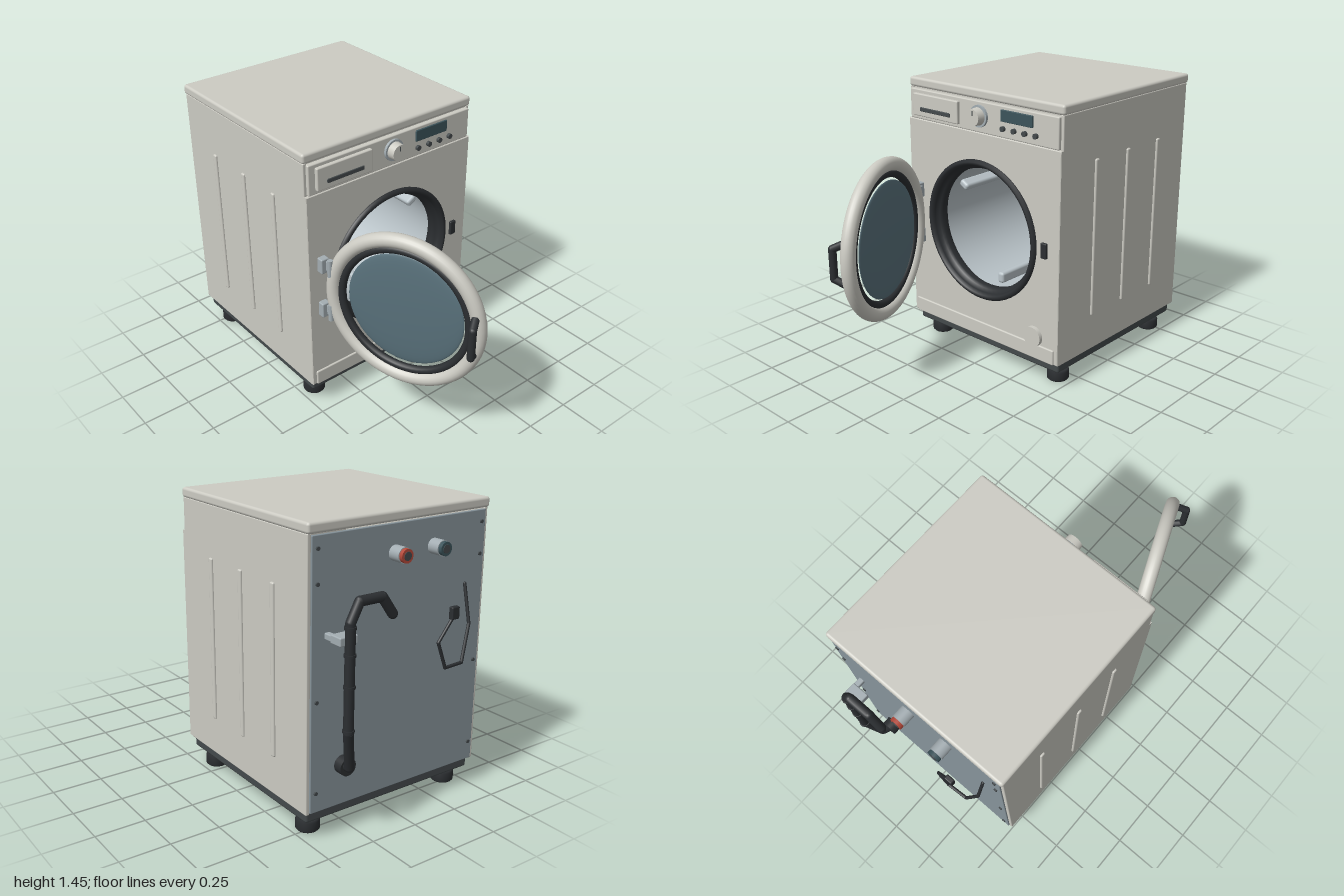
import * as THREE from 'three';
import { RoundedBoxGeometry } from 'three/addons/geometries/RoundedBoxGeometry.js';

const mat = (color, side = THREE.FrontSide) => new THREE.MeshStandardMaterial({ color, side });
const WHITE = mat(0xcccbc3), DARK = mat(0x444a4c), RUBBER = mat(0x2b2e31), STEEL = mat(0x87949b),
  METAL = mat(0xa3adb2), DRUM = mat(0xb9c3c8, THREE.DoubleSide), SCREEN = mat(0x3c545b), GLASS = mat(0x58707a),
  RED = mat(0xb5493a), GASKET = mat(0x2b2e31, THREE.DoubleSide);

function add(parent, name, geometry, material, x = 0, y = 0, z = 0) {
  const mesh = new THREE.Mesh(geometry, material);
  mesh.name = name;
  mesh.position.set(x, y, z);
  parent.add(mesh);
  return mesh;
}

const box = (w, h, d, r = 0.006) => new RoundedBoxGeometry(w, h, d, 2, Math.min(r, w / 2.1, h / 2.1, d / 2.1));

// Disc or cylinder whose axis runs along z
const rod = (r0, r1, d, seg = 32, open = false) => new THREE.CylinderGeometry(r0, r1, d, seg, 1, open).rotateX(Math.PI / 2);

// Round bar following straight runs between points
function bar(parent, name, points, radius, material) {
  const group = new THREE.Group();
  group.name = name;
  const pts = points.map(p => new THREE.Vector3(...p));
  pts.forEach((p, i) => {
    add(group, name + 'Joint', new THREE.SphereGeometry(radius, 12, 8), material, p.x, p.y, p.z);
    if (!i) return;
    const run = p.clone().sub(pts[i - 1]);
    const mid = p.clone().add(pts[i - 1]).multiplyScalar(0.5);
    const m = add(group, name + 'Run', new THREE.CylinderGeometry(radius, radius, run.length(), 12), material, mid.x, mid.y, mid.z);
    m.quaternion.setFromUnitVectors(new THREE.Vector3(0, 1, 0), run.normalize());
  });
  parent.add(group);
}

function cabinet(g) {
  add(g, 'lid', box(1.03, 0.05, 1.035, 0.014), WHITE, 0, 1.425, -0.3375);
  for (const s of [-1, 1]) {
    add(g, 'sideWall', box(0.02, 1.265, 1.02, 0.005), WHITE, s * 0.5, 0.77, -0.335);
    for (const z of [-0.08, -0.335, -0.595])
      add(g, 'sideRib', box(0.024, 0.82, 0.028, 0.008), WHITE, s * 0.508, 0.74, z);
    for (const z of [0.07, -0.735]) {
      add(g, 'footStem', new THREE.CylinderGeometry(0.03, 0.03, 0.05, 24), METAL, s * 0.42, 0.075, z);
      const foot = [[0, 0], [0.05, 0], [0.057, 0.008], [0.057, 0.05], [0.05, 0.06], [0, 0.06]];
      add(g, 'foot', new THREE.LatheGeometry(foot.map(p => new THREE.Vector2(...p)), 32), RUBBER, s * 0.42, 0, z);
      add(g, 'baseScrew', new THREE.CylinderGeometry(0.01, 0.01, 0.01, 12), RUBBER, s * 0.36, 0.077, z - Math.sign(z) * 0.08);
    }
    for (const y of [1.34, 1.19, 0.67, 0.24])
      add(g, 'backScrew', rod(0.009, 0.009, 0.01, 12), DARK, s * 0.465, y, -0.855);
  }
  add(g, 'plinth', box(0.99, 0.06, 0.99, 0.012), DARK, 0, 0.115, -0.33);
  add(g, 'basePlate', new THREE.BoxGeometry(0.86, 0.01, 0.86), DARK, 0, 0.083, -0.33);
  add(g, 'cabinetFloor', new THREE.BoxGeometry(0.98, 0.01, 1), WHITE, 0, 0.145, -0.335);
  add(g, 'backPanel', box(0.985, 1.25, 0.015, 0.004), STEEL, 0, 0.77, -0.845);

  // Front panel with the round door opening
  const s = new THREE.Shape();
  s.moveTo(-0.51, 0.142).lineTo(0.51, 0.142).lineTo(0.51, 1.237).lineTo(-0.51, 1.237).closePath();
  s.holes.push(new THREE.Path().absarc(0, 0.73, 0.345, 0, Math.PI * 2, true));
  add(g, 'frontPanel', new THREE.ExtrudeGeometry(s, {
    depth: 0.02, bevelEnabled: true, bevelThickness: 0.003, bevelSize: 0.003, bevelOffset: -0.003, bevelSegments: 1, curveSegments: 48,
  }), WHITE, 0, 0, 0.168);
  add(g, 'kickPanel', box(0.975, 0.08, 0.02), WHITE, 0, 0.182, 0.19);
  add(g, 'filterCap', rod(0.053, 0.053, 0.03, 40), WHITE, 0.36, 0.262, 0.197);
  add(g, 'latch', box(0.036, 0.08, 0.025), RUBBER, 0.42, 0.733, 0.192);
}

function controls(g) {
  add(g, 'panelBacking', new THREE.BoxGeometry(0.98, 0.17, 0.02), WHITE, 0, 1.315, 0.158);
  add(g, 'controlPanel', box(0.99, 0.155, 0.03), WHITE, 0, 1.317, 0.177);
  add(g, 'detergentDrawer', box(0.32, 0.116, 0.03), WHITE, -0.298, 1.318, 0.195);
  add(g, 'drawerGrip', box(0.215, 0.022, 0.012, 0.004), DARK, -0.296, 1.298, 0.208);
  add(g, 'dialRing', rod(0.055, 0.055, 0.016, 40), METAL, 0, 1.323, 0.197);
  add(g, 'dial', rod(0.041, 0.046, 0.055, 40), WHITE, 0, 1.323, 0.217);
  add(g, 'dialMark', new THREE.BoxGeometry(0.005, 0.024, 0.004), DARK, 0, 1.345, 0.245);
  add(g, 'display', box(0.2, 0.058, 0.014, 0.003), SCREEN, 0.242, 1.349, 0.193);
  for (const x of [0.156, 0.226, 0.294, 0.362])
    add(g, 'button', rod(0.013, 0.013, 0.022, 20), DARK, x, 1.285, 0.196);
}

function drum(g) {
  const d = new THREE.Group();
  d.name = 'drum';
  d.position.set(0, 0.73, 0);
  g.add(d);
  // Rubber seal, a stepped ring
  const seal = [[0.345, 0.17], [0.37, 0.185], [0.37, 0.2], [0.358, 0.209], [0.345, 0.208], [0.335, 0.19],
    [0.34, 0.175], [0.325, 0.165], [0.316, 0.15], [0.318, 0.12], [0.335, 0.1]];
  add(d, 'doorSeal', new THREE.LatheGeometry(seal.map(p => new THREE.Vector2(...p)), 64).rotateX(Math.PI / 2), GASKET);
  add(d, 'drumWall', rod(0.335, 0.335, 0.66, 64, true), DRUM, 0, 0, -0.22);
  add(d, 'drumBack', new THREE.CircleGeometry(0.335, 64), DRUM, 0, 0, -0.545);
  for (const r of [0.115, 0.175, 0.205, 0.27])
    add(d, 'drumRing', new THREE.TorusGeometry(r, 0.006, 8, 64), DRUM, 0, 0, -0.545);
  add(d, 'drumHub', rod(0.06, 0.06, 0.03, 40), METAL, 0, 0, -0.535);
  for (let i = 0; i < 3; i++) {
    const a = -Math.PI / 2 + i * Math.PI * 2 / 3;
    const p = add(d, 'paddle', box(0.06, 0.04, 0.56, 0.015), DRUM, 0.305 * Math.cos(a), 0.305 * Math.sin(a), -0.23);
    p.rotation.z = a;
  }
}

function door(g) {
  const d = new THREE.Group();
  d.name = 'door';
  d.position.set(-0.265, 0.73, 0.594);
  d.rotation.y = -1.18;
  g.add(d);
  add(d, 'doorRim', new THREE.TorusGeometry(0.375, 0.036, 20, 72), WHITE);
  add(d, 'doorInnerRing', new THREE.TorusGeometry(0.328, 0.02, 14, 72), RUBBER);
  add(d, 'doorGlass', new THREE.SphereGeometry(0.298, 48, 24).scale(1, 1, 0.07), GLASS, 0, 0, -0.012);
  bar(d, 'doorHandle', [[0.36, -0.105, 0.02], [0.372, -0.075, 0.08], [0.372, 0.075, 0.08], [0.36, 0.105, 0.02]], 0.019, RUBBER);
  for (const y of [0.86, 0.605]) {
    add(g, 'hingePlate', box(0.045, 0.08, 0.04), METAL, -0.437, y, 0.205);
    add(g, 'hingeArm', box(0.03, 0.055, 0.06), METAL, -0.42, y, 0.235);
    add(g, 'hingePin', new THREE.CylinderGeometry(0.014, 0.014, 0.09, 16), METAL, -0.432, y, 0.253);
  }
}

function rearFittings(g) {
  // Water inlets
  for (const [x, tip] of [[0.05, RED], [-0.175, SCREEN]]) {
    add(g, 'inletValve', rod(0.036, 0.036, 0.065, 28), METAL, x, 1.265, -0.882);
    add(g, 'inletCollar', rod(0.032, 0.032, 0.02, 28), tip, x, 1.265, -0.923);
    add(g, 'inletBore', rod(0.02, 0.02, 0.006, 20), DARK, x, 1.265, -0.933);
  }
  // Drain hose with its socket, bracket and ribs
  add(g, 'drainSocket', rod(0.043, 0.043, 0.05, 28), RUBBER, 0.32, 0.345, -0.873);
  bar(g, 'drainHose', [[0.32, 0.345, -0.88], [0.335, 0.36, -0.925], [0.38, 0.55, -0.968], [0.38, 1.04, -0.968],
    [0.335, 1.125, -0.968], [0.215, 1.125, -0.968], [0.155, 1.04, -0.968]], 0.023, RUBBER);
  for (const y of [0.56, 0.76, 0.9, 1.02])
    add(g, 'hoseBand', new THREE.CylinderGeometry(0.027, 0.027, 0.012, 20), RUBBER, 0.38, y, -0.968);
  add(g, 'hoseBracket', box(0.095, 0.04, 0.07), METAL, 0.378, 0.96, -0.925);
  add(g, 'bracketStay', box(0.03, 0.03, 0.06), METAL, 0.41, 0.96, -0.875);
  // Power cable and plug
  bar(g, 'powerCable', [[-0.38, 1.06, -0.855], [-0.375, 0.88, -0.9], [-0.31, 0.71, -0.93], [-0.2, 0.71, -0.937],
    [-0.15, 0.84, -0.937], [-0.23, 0.94, -0.937]], 0.008, RUBBER);
  add(g, 'plug', box(0.045, 0.06, 0.026), RUBBER, -0.24, 0.965, -0.937);
}

export function createModel() {
  const g = new THREE.Group();
  g.name = 'washingMachine';
  cabinet(g);
  controls(g);
  drum(g);
  door(g);
  rearFittings(g);
  return g;
}
